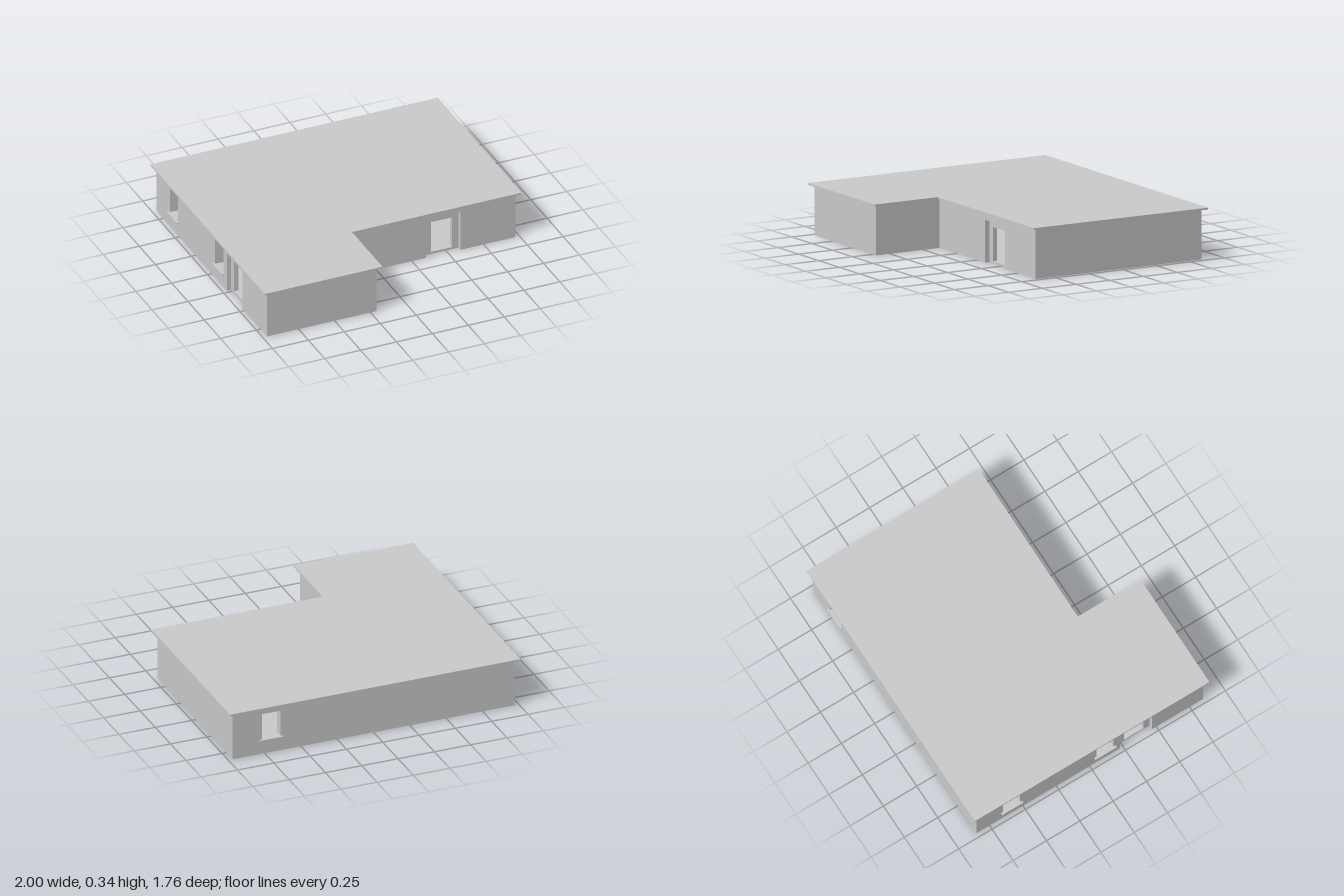
import * as THREE from 'three';

const H = 0.325;   // wall height
const T = 0.06;    // wall thickness
const FLOOR = 0.015;
const material = new THREE.MeshStandardMaterial({ color: 0xcccccc, flatShading: true });

function polygon(points) {
  return new THREE.Shape(points.map(([x, y]) => new THREE.Vector2(x, y)));
}

function rectHole(u0, u1, y0, y1) {
  return new THREE.Path([[u0, y0], [u0, y1], [u1, y1], [u1, y0]].map(p => new THREE.Vector2(...p)));
}

function extrude(name, shape, depth) {
  const mesh = new THREE.Mesh(new THREE.ExtrudeGeometry(shape, { depth, bevelEnabled: false }), material);
  mesh.name = name;
  return mesh;
}

// A wall in its own plane: u runs along it, local +z points outdoors, outer face at z = 0.
// Windows and doors are given by the u of their centre.
function makeWall({ name, from, to, at, turn, windows = [], doors = [] }) {
  const wall = new THREE.Group();
  wall.name = name;

  // Outer skin: the door recess is notched out down to the ground
  const outline = [[from, 0]];
  for (const d of doors) {
    outline.push([d - 0.12, 0], [d - 0.12, 0.277], [d + 0.12, 0.277], [d + 0.12, 0]);
  }
  outline.push([to, 0], [to, H], [from, H]);
  const outer = polygon(outline);

  // Inner skin: the smaller doorway itself
  const inner = polygon([[from, 0], [to, 0], [to, H], [from, H]]);
  for (const d of doors) inner.holes.push(rectHole(d - 0.073, d + 0.073, FLOOR, 0.235));

  for (const w of windows) {
    for (const skin of [outer, inner]) skin.holes.push(rectHole(w - 0.064, w + 0.064, 0.1, 0.28));
    // Projecting window sill
    const sill = new THREE.Mesh(new THREE.BoxGeometry(0.16, 0.009, 0.045), material);
    sill.name = 'windowSill';
    sill.position.set(w, 0.0975, -0.0065);
    wall.add(sill);
  }

  const outerMesh = extrude('outerSkin', outer, T / 2);
  outerMesh.position.z = -T / 2;
  const innerMesh = extrude('innerSkin', inner, T / 2);
  innerMesh.position.z = -T;
  wall.add(outerMesh, innerMesh);

  wall.position.set(...at);
  wall.rotation.y = turn;
  return wall;
}

// L-shaped slab; grow moves its edge outwards from the outer wall faces
function makeSlab(name, grow, y, thickness) {
  const x = 0.97 + grow, z = 0.85 + grow, nx = -0.21 + grow, nz = 0.38 + grow;
  const shape = polygon([[-x, -z], [nx, -z], [nx, -nz], [x, -nz], [x, z], [-x, z]]);
  const slab = extrude(name, shape, thickness);
  slab.rotation.x = -Math.PI / 2;
  slab.position.y = y;
  return slab;
}

export function createModel() {
  const house = new THREE.Group();
  house.name = 'house';

  const walls = [
    { name: 'wingFrontWall', from: -0.97, to: -0.21, at: [0, 0, 0.85], turn: 0 },
    { name: 'entranceWall', from: -0.27, to: 0.97, at: [0, 0, 0.38], turn: 0, doors: [0.47] },
    { name: 'backWall', from: -0.97, to: 0.97, at: [0, 0, -0.85], turn: Math.PI, windows: [-0.705] },
    { name: 'leftWall', from: -0.32, to: 0.79, at: [0.97, 0, 0], turn: Math.PI / 2 },
    { name: 'wingInnerWall', from: -0.79, to: -0.38, at: [-0.21, 0, 0], turn: Math.PI / 2 },
    { name: 'rightWall', from: -0.79, to: 0.79, at: [-0.97, 0, 0], turn: -Math.PI / 2,
      windows: [-0.585, 0.115], doors: [0.35] },
  ];
  for (const w of walls) house.add(makeWall(w));

  house.add(makeSlab('floor', -T, 0, FLOOR));
  house.add(makeSlab('roof', 0.03, H, 0.012));
  return house;
}
